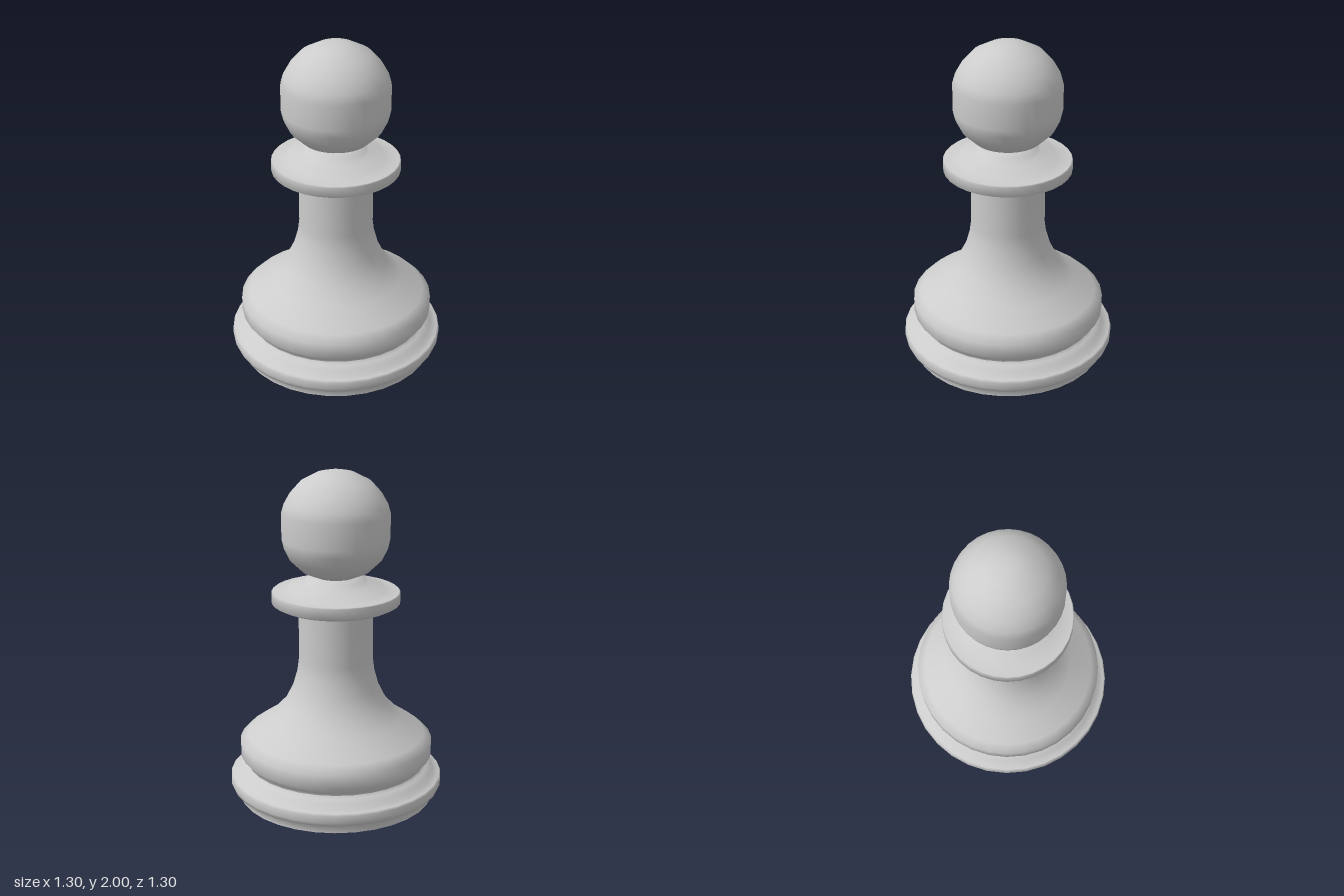
import * as THREE from 'three';

const SIDES = 32;
const material = new THREE.MeshStandardMaterial({ color: 0xcccccc });

// Turned part from [radius, height] pairs, listed bottom to top
function turned(name, profile) {
  const points = profile.map(([r, y]) => new THREE.Vector2(r, y));
  const mesh = new THREE.Mesh(new THREE.LatheGeometry(points, SIDES), material);
  mesh.name = name;
  return mesh;
}

export function createModel() {
  const pawn = new THREE.Group();
  pawn.name = 'pawn';

  // Flat underside
  pawn.add(turned('underside', [[0, 0], [0.597, 0]]));

  // Stepped foot with a rounded rim
  pawn.add(turned('foot', [
    [0.597, 0], [0.597, 0.05], [0.638, 0.065], [0.648, 0.09], [0.648, 0.13],
    [0.638, 0.142], [0.602, 0.147], [0.592, 0.18], [0.555, 0.193], [0.542, 0.21],
  ]));

  // Bulged skirt sweeping up into the straight stem
  pawn.add(turned('body', [
    [0.542, 0.21], [0.545, 0.225], [0.585, 0.27], [0.585, 0.355], [0.538, 0.4],
    [0.4, 0.495], [0.31, 0.59], [0.26, 0.69], [0.232, 0.79], [0.222, 0.87],
    [0.222, 1.17],
  ]));

  // Collar with two small steps on top
  pawn.add(turned('collar', [
    [0.222, 1.17], [0.265, 1.175], [0.345, 1.2], [0.382, 1.22], [0.382, 1.28],
    [0.375, 1.286], [0.29, 1.288], [0.285, 1.316], [0.19, 1.327], [0.18, 1.358],
    [0.12, 1.375],
  ]));

  // Slightly squared ball head
  pawn.add(turned('head', [
    [0.12, 1.375], [0.2, 1.41], [0.273, 1.48], [0.307, 1.55], [0.318, 1.6],
    [0.318, 1.75], [0.302, 1.805], [0.268, 1.865], [0.205, 1.935], [0.11, 1.985],
    [0.05, 1.998], [0, 2],
  ]));

  return pawn;
}
